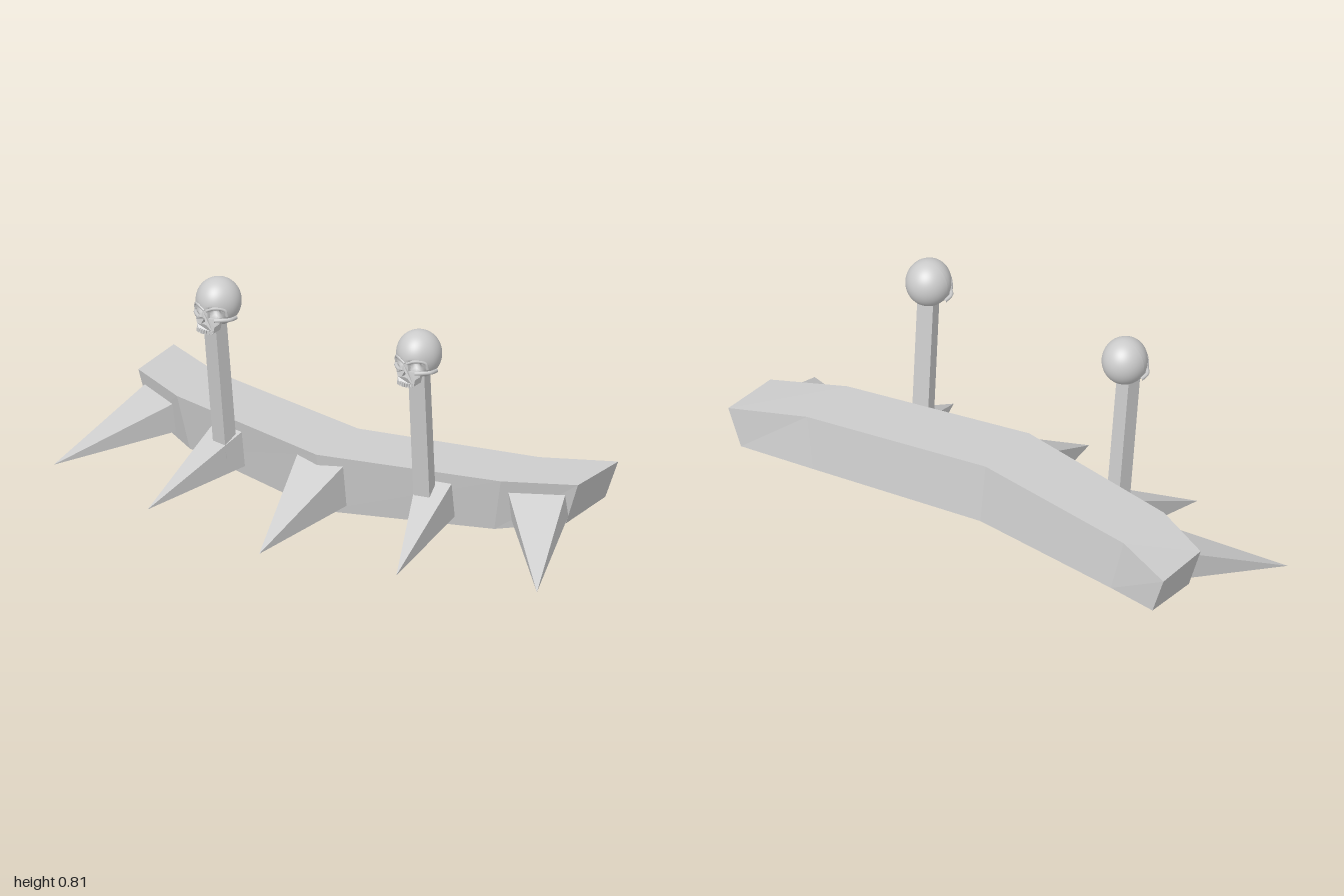
import * as THREE from 'three';
import { ConvexGeometry } from 'three/addons/geometries/ConvexGeometry.js';

const V = (x, y, z) => new THREE.Vector3(x, y, z);
const flat = new THREE.MeshStandardMaterial({ color: 0xcccccc, flatShading: true });
const smooth = new THREE.MeshStandardMaterial({ color: 0xcccccc });

function add(parent, name, geometry, material) {
  const mesh = new THREE.Mesh(geometry, material);
  mesh.name = name;
  parent.add(mesh);
  return mesh;
}

// Bent beam: four-cornered sections (top front, top back, bottom back, bottom front)
function beamGeometry() {
  const half = [
    [V(0, 0.245, 0.07), V(0, 0.25, -0.19), V(0, 0.04, -0.22), V(0, 0.025, 0.04)],
    [V(0.67, 0.255, -0.07), V(0.67, 0.26, -0.31), V(0.63, 0.07, -0.33), V(0.63, 0.06, -0.09)],
    [V(0.91, 0.255, -0.19), V(0.92, 0.262, -0.425), V(0.87, 0.12, -0.42), V(0.86, 0.1, -0.19)],
  ];
  const mirror = (s) => s.map((p) => V(-p.x, p.y, p.z));
  const sections = [mirror(half[2]), mirror(half[1]), ...half];
  const pts = [];
  const quad = (a, b, c, d) => pts.push(a, b, c, a, c, d);
  for (let i = 0; i < 4; i++) {
    const s = sections[i], t = sections[i + 1];
    for (let k = 0; k < 4; k++) quad(s[k], t[k], t[(k + 1) % 4], s[(k + 1) % 4]);
  }
  const [a, b, c, d] = sections[0];
  quad(a, b, c, d);
  const [e, f, g, h] = sections[4];
  quad(e, h, g, f);
  const geo = new THREE.BufferGeometry().setFromPoints(pts);
  geo.computeVertexNormals();
  return geo;
}

// Four-sided spike: inner and outer ends of its base, and its tip
function spike(parent, name, side, inner, outer, tip) {
  const pts = [V(...tip)];
  for (const [x, z, low] of [inner, outer]) pts.push(V(x, 0.215, z), V(x, low, z - 0.02));
  pts.forEach((p) => { p.x *= side; });
  add(parent, name, new ConvexGeometry(pts), flat);
}

// Cranium: a ball with sunken eye sockets, narrowed temples and a flattened base
function craniumGeometry() {
  const geo = new THREE.SphereGeometry(1, 48, 36);
  const pos = geo.attributes.position;
  const p = V(0, 0, 0);
  const eye = V(0.42, -0.24, 0.87).normalize();
  for (let i = 0; i < pos.count; i++) {
    p.fromBufferAttribute(pos, i);
    const dist = Math.hypot(Math.abs(p.x) - eye.x, (p.y - eye.y) * 1.25, p.z - eye.z);
    const socket = 1 - THREE.MathUtils.smoothstep(dist, 0.16, 0.34);
    const temple = THREE.MathUtils.smoothstep(p.z, 0.1, 0.8);
    const front = THREE.MathUtils.smoothstep(p.z, 0, 0.4);
    p.multiplyScalar(1 - 0.32 * socket);
    const y = Math.max(p.y * 0.085, -0.082 + 0.014 * front);
    pos.setXYZ(i, p.x * 0.08 * (1 - 0.06 * temple), y, p.z * 0.083);
  }
  geo.computeVertexNormals();
  return geo;
}

// Face bone: outline with a nose opening, curved back at the sides
function faceGeometry() {
  const right = [[0.009, -0.012], [0.014, -0.036], [0.05, -0.042], [0.048, -0.056], [0.036, -0.066], [0.034, -0.088], [0.014, -0.091]];
  const left = right.map(([x, y]) => [-x, y]).reverse();
  const shape = new THREE.Shape([...right, ...left].map(([x, y]) => new THREE.Vector2(x, y)));
  shape.holes.push(new THREE.Path([[0, -0.036], [-0.012, -0.06], [0, -0.056], [0.012, -0.06]].map(([x, y]) => new THREE.Vector2(x, y))));
  const geo = new THREE.ExtrudeGeometry(shape, { depth: 0.045, bevelEnabled: false });
  const pos = geo.attributes.position;
  for (let i = 0; i < pos.count; i++) {
    const x = pos.getX(i), y = pos.getY(i);
    pos.setZ(i, pos.getZ(i) + 0.05 - 11 * x * x - 0.15 * (y + 0.085));
  }
  geo.computeVertexNormals();
  return geo;
}

function skull() {
  const group = new THREE.Group();
  group.name = 'skull';
  add(group, 'cranium', craniumGeometry(), smooth);
  add(group, 'faceBone', faceGeometry(), flat);
  // Upper teeth
  for (let i = -3; i <= 3; i++) {
    const x = i * 0.009;
    const tooth = add(group, 'tooth', new THREE.BoxGeometry(0.007, 0.014, 0.008), flat);
    tooth.position.set(x, -0.085, 0.092 - 11 * x * x);
    tooth.rotation.y = x * 15;
  }
  // Brow ridges and cheek arches
  const tube = (name, side, points, r) => {
    const curve = new THREE.CatmullRomCurve3(points.map(([x, y, z]) => V(x * side, y, z)));
    add(group, name, new THREE.TubeGeometry(curve, 12, r, 8), smooth);
  };
  for (const side of [-1, 1]) {
    tube('browRidge', side, [[0.004, -0.01, 0.08], [0.032, 0.002, 0.073], [0.06, -0.008, 0.048], [0.064, -0.03, 0.042]], 0.006);
    tube('cheekArch', side, [[0.03, -0.044, 0.073], [0.058, -0.044, 0.05], [0.072, -0.045, 0.03], [0.07, -0.05, -0.005]], 0.007);
  }
  return group;
}

export function createModel() {
  const model = new THREE.Group();
  model.name = 'spikedBeam';
  add(model, 'beam', beamGeometry(), flat);
  spike(model, 'centreSpike', 1, [-0.095, 0.045, 0.06], [0.095, 0.045, 0.06], [0, 0, 0.425]);

  for (const side of [-1, 1]) {
    spike(model, 'middleSpike', side, [0.362, -0.01, 0.08], [0.49, -0.035, 0.085], [0.515, 0.015, 0.345]);
    spike(model, 'endSpike', side, [0.695, -0.08, 0.105], [0.87, -0.17, 0.13], [1, 0.015, 0.2]);

    // Leaning post, turned to follow the beam
    const post = add(model, 'post', new THREE.BoxGeometry(0.06, 0.55, 0.054), flat);
    post.position.set(0.418 * side, 0.405, 0.041);
    post.rotation.set(0.1, 0.2 * side, 0, 'YXZ');

    const head = skull();
    head.position.set(0.415 * side, 0.72, 0.056);
    model.add(head);
  }
  return model;
}
